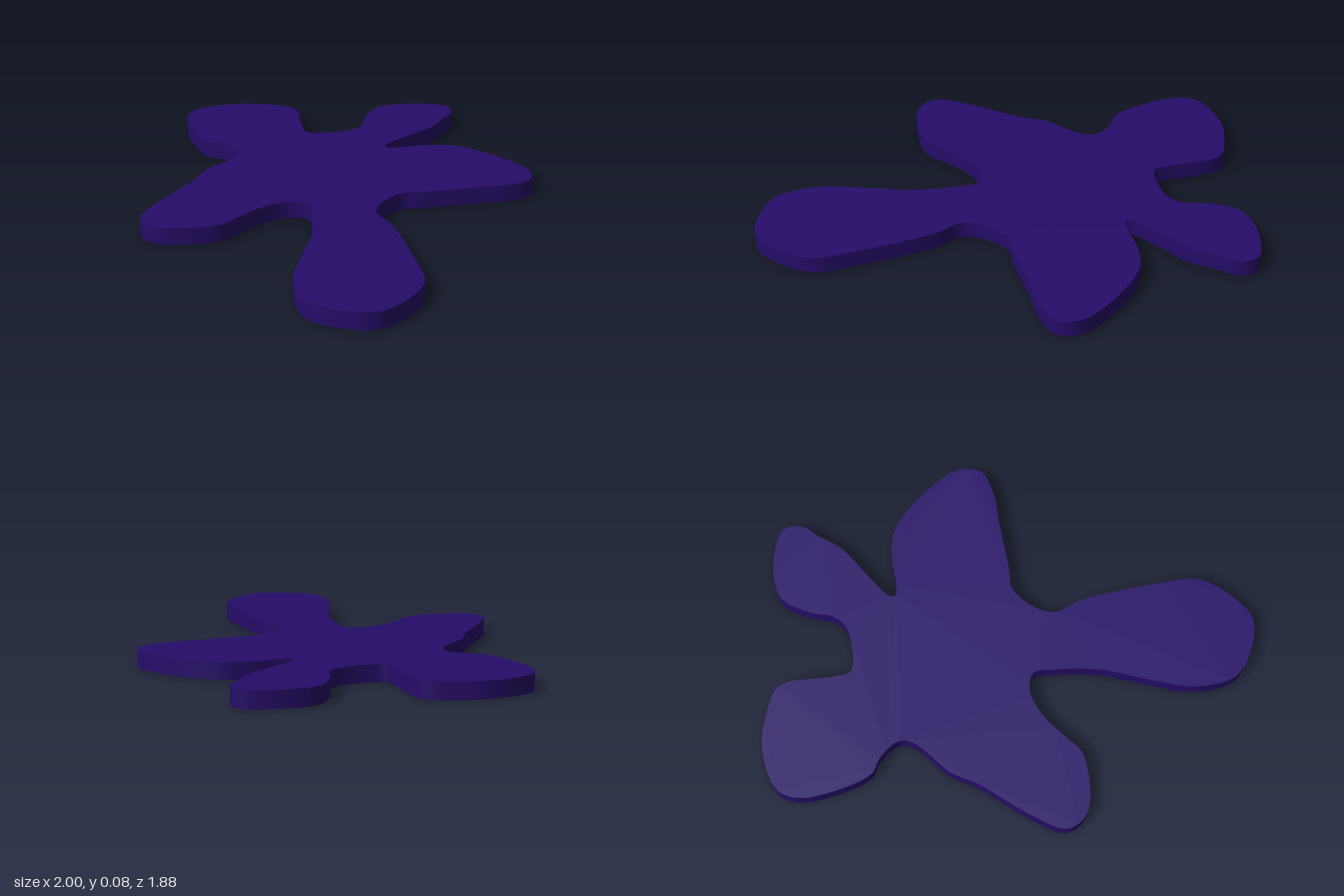
import * as THREE from 'three';
import { toCreasedNormals } from 'three/addons/utils/BufferGeometryUtils.js';

const THICKNESS = 0.075;

// Outline seen from above as [x, z], one line per lobe
const OUTLINE = [
  // back lobe, right flank
  [-0.17, -0.94], [-0.10, -0.89], [-0.08, -0.80], [-0.05, -0.69], [-0.06, -0.50], [-0.06, -0.39], [-0.04, -0.365],
  // back left lobe
  [0, -0.40], [0.08, -0.51], [0.18, -0.59], [0.40, -0.625], [0.58, -0.60], [0.65, -0.52], [0.61, -0.40],
  [0.53, -0.29], [0.40, -0.10], [0.345, -0.03], [0.35, 0.10], [0.40, 0.185],
  // long front left lobe
  [0.51, 0.22], [0.80, 0.40], [0.95, 0.52], [0.995, 0.68], [0.98, 0.81], [0.87, 0.90], [0.73, 0.935],
  [0.57, 0.84], [0.45, 0.67], [0.34, 0.50], [0.20, 0.36], [0.13, 0.31],
  // front lobe
  [0.06, 0.355], [0.02, 0.47], [0.02, 0.60], [0.02, 0.70], [-0.05, 0.81], [-0.14, 0.89], [-0.20, 0.905],
  [-0.27, 0.88], [-0.33, 0.73], [-0.39, 0.48], [-0.435, 0.37], [-0.45, 0.18], [-0.49, 0.12],
  // right lobe
  [-0.60, 0.115], [-0.67, 0.14], [-0.80, 0.10], [-0.96, 0], [-1, -0.09], [-0.92, -0.27], [-0.80, -0.37],
  [-0.70, -0.42], [-0.64, -0.405], [-0.58, -0.36], [-0.48, -0.28], [-0.42, -0.25],
  // back lobe, left flank
  [-0.35, -0.31], [-0.29, -0.42], [-0.30, -0.49], [-0.35, -0.56], [-0.40, -0.70], [-0.37, -0.78], [-0.28, -0.88],
];

export function createModel() {
  const group = new THREE.Group();
  group.name = 'splat';

  // Smooth closed curve through the outline; shape y is -z
  const curve = new THREE.CatmullRomCurve3(
    OUTLINE.map(([x, z]) => new THREE.Vector3(x, -z, 0)), true, 'centripetal');
  const points = curve.getPoints(OUTLINE.length * 5).slice(0, -1);
  const shape = new THREE.Shape(points.map((p) => new THREE.Vector2(p.x, p.y)));

  // Flat slab with sharp rims and a smooth side wall
  const slab = new THREE.ExtrudeGeometry(shape, { depth: THICKNESS, bevelEnabled: false });
  slab.rotateX(-Math.PI / 2);

  const body = new THREE.Mesh(
    toCreasedNormals(slab, 0.7),
    new THREE.MeshStandardMaterial({ color: 0x260c69 }));
  body.name = 'splatBody';
  group.add(body);
  return group;
}
